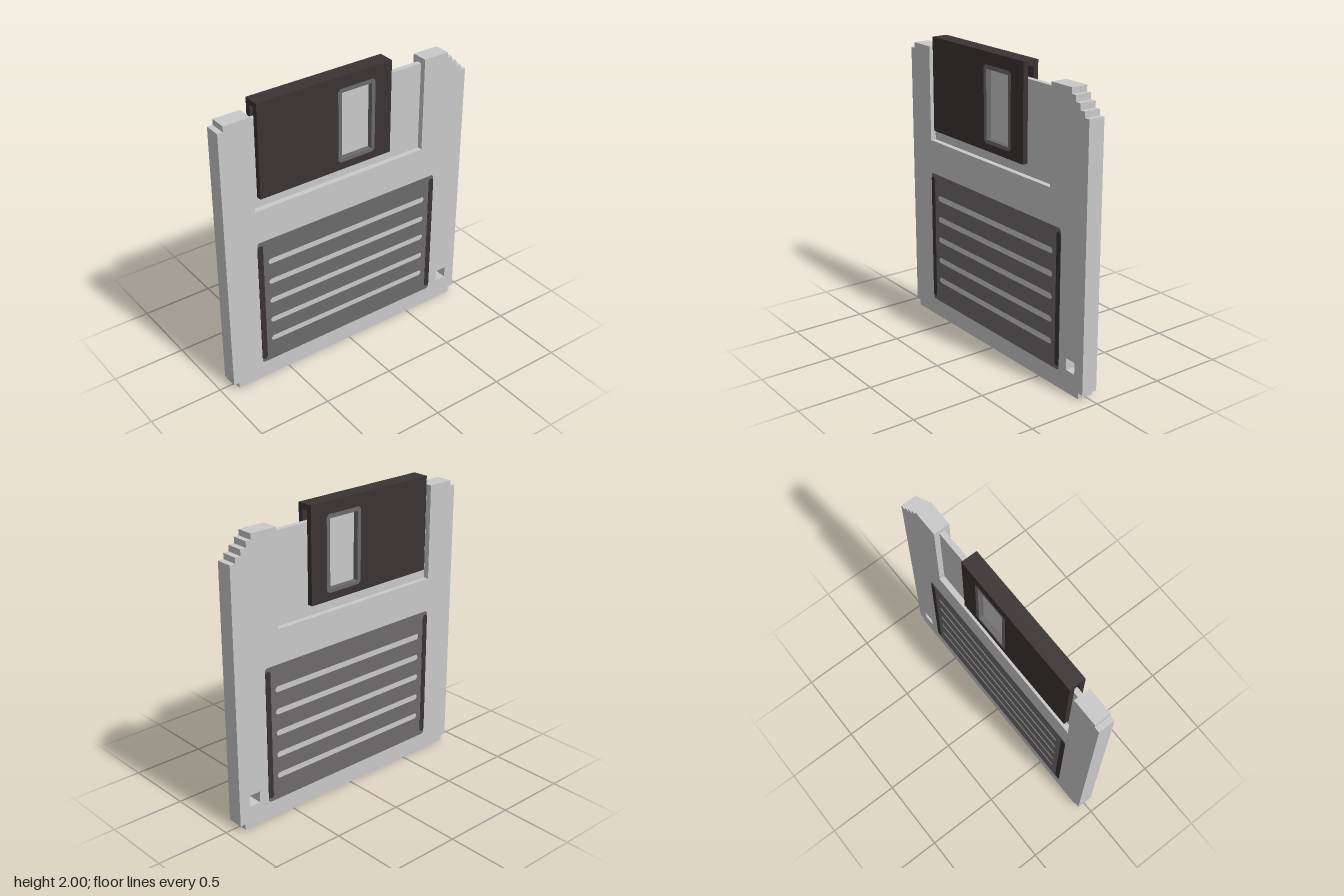
import * as THREE from 'three';

const HALF = 0.056;  // half thickness of the case
const INNER = 0.018; // half thickness of the recessed web

const points = (list) => list.map(([x, y]) => new THREE.Vector2(x, y));

// Rectangle with cut corners
function chamferRect(x0, y0, x1, y1, c = 0) {
  if (c === 0) return points([[x0, y0], [x1, y0], [x1, y1], [x0, y1]]);
  return points([
    [x0 + c, y0], [x1 - c, y0], [x1, y0 + c], [x1, y1 - c],
    [x1 - c, y1], [x0 + c, y1], [x0, y1 - c], [x0, y0 + c],
  ]);
}

// Extruded outline with holes between two depths
function slab(outline, z0, z1, holes = []) {
  const shape = new THREE.Shape(outline);
  holes.forEach((h) => shape.holes.push(new THREE.Path(h)));
  const geo = new THREE.ExtrudeGeometry(shape, { depth: z1 - z0, bevelEnabled: false });
  return geo.translate(0, 0, z0);
}

export function createModel() {
  const shellMat = new THREE.MeshStandardMaterial({ color: 0xc9c9c9 });
  shellMat.name = 'light grey plastic';
  const greyMat = new THREE.MeshStandardMaterial({ color: 0x6c6a6a });
  greyMat.name = 'mid grey';
  const darkMat = new THREE.MeshStandardMaterial({ color: 0x3a3333 });
  darkMat.name = 'dark shutter';

  const model = new THREE.Group();
  model.name = 'floppyDisk';
  const add = (name, geo, mat) => {
    const mesh = new THREE.Mesh(geo, mat);
    mesh.name = name;
    model.add(mesh);
  };

  // Case with stepped corners, shutter recess and write-protect hole
  const outline = points([
    [-0.887, 0], [0.887, 0], [0.887, 0.04], [0.925, 0.04],
    [0.925, 1.773], [0.885, 1.773], [0.885, 1.81], [0.847, 1.81],
    [0.847, 1.85], [0.806, 1.85], [0.806, 1.89], [0.77, 1.89],
    [0.77, 1.928], [0.583, 1.928], [0.583, 1.285], [-0.703, 1.285],
    [-0.703, 1.928], [-0.887, 1.928], [-0.887, 1.89], [-0.925, 1.89],
    [-0.925, 0.04], [-0.887, 0.04],
  ]);
  add('case', slab(outline, -HALF, HALF, [chamferRect(0.766, 0.15, 0.846, 0.23)]), shellMat);
  add('recessWeb', slab(chamferRect(-0.703, 1.285, 0.583, 1.89), -INNER, INNER), shellMat);

  // Shutter cap that joins both plates over the top
  add('shutterCap', slab(chamferRect(-0.662, 1.964, 0.318, 2), -HALF, HALF), darkMat);

  const frame = chamferRect(-0.087, 1.41, 0.194, 1.918, 0.018);
  const opening = chamferRect(-0.06, 1.435, 0.168, 1.89);
  const slots = [0.286, 0.435, 0.588, 0.737, 0.89].map(
    (y) => chamferRect(-0.624, y - 0.02, 0.62, y + 0.02, 0.013));

  // Same details on the front and the back
  for (const [side, s] of [['front', 1], ['back', -1]]) {
    const layer = (pts, near, far, holes) =>
      slab(pts, s > 0 ? near : -far, s > 0 ? far : -near, holes);

    add(side + 'ShutterPlate',
      layer(chamferRect(-0.662, 1.36, 0.318, 1.964), 0.02, HALF, [frame]), darkMat);
    add(side + 'WindowFrame', layer(frame, 0.02, HALF, [opening]), greyMat);

    // Label with open slots showing the case
    add(side + 'Label',
      layer(chamferRect(-0.7, 0.12, 0.695, 1.055, 0.012), HALF, HALF + 0.0015, slots), greyMat);

    // Dark strips along the label edges
    for (const [end, x0, x1] of [['Right', -0.701, -0.662], ['Left', 0.658, 0.696]]) {
      add(side + 'LabelStrip' + end,
        layer(chamferRect(x0, 0.145, x1, 1.03, 0.012), HALF, HALF + 0.003), darkMat);
    }
  }
  return model;
}
